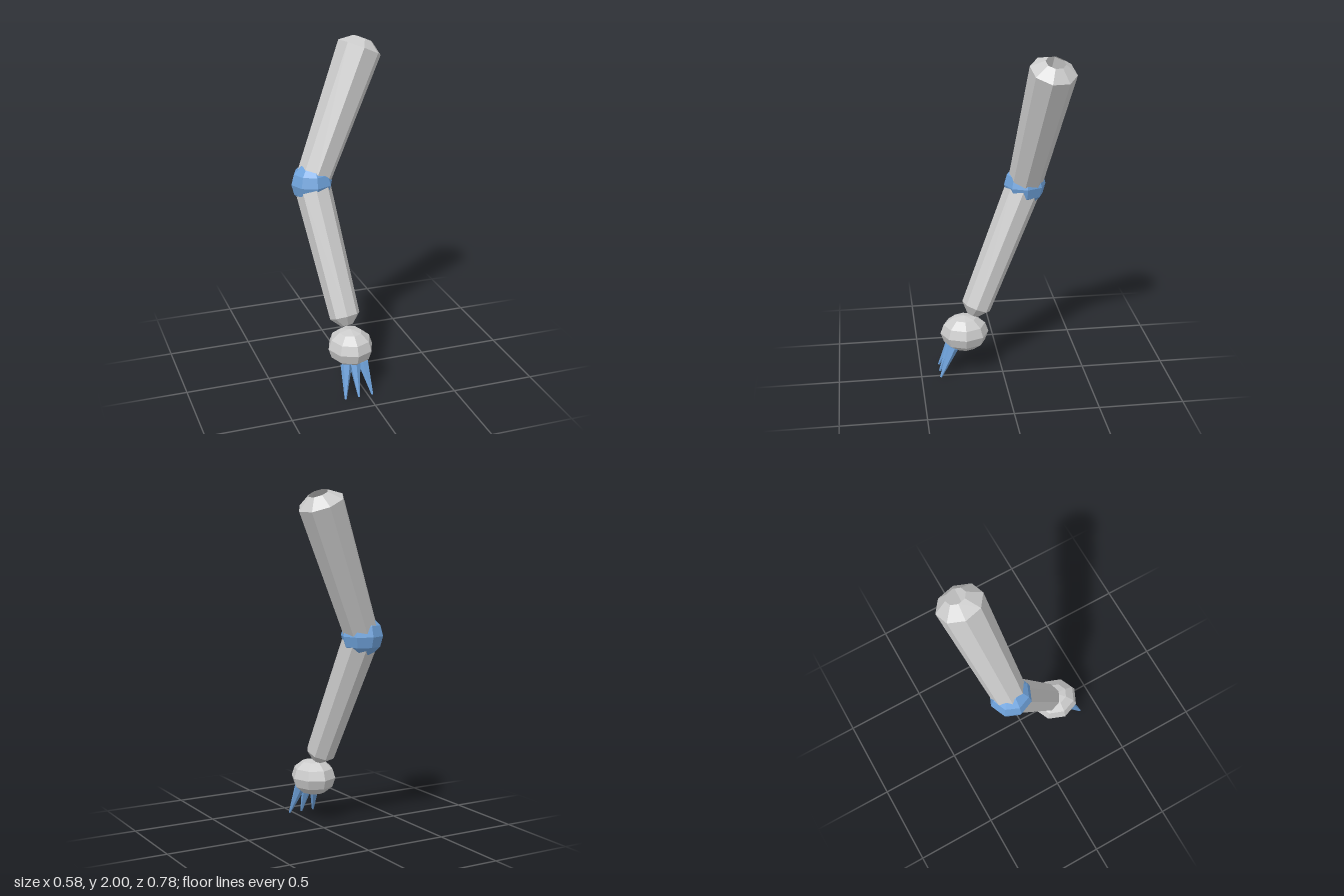
import * as THREE from 'three';

const grey = new THREE.MeshStandardMaterial({ color: 0xcccccc, flatShading: true, side: THREE.DoubleSide });
const blue = new THREE.MeshStandardMaterial({ color: 0x6fa3dc, flatShading: true });
const V = (x, y, z) => new THREE.Vector3(x, y, z);

// Stand a y-aligned mesh on point a, pointing at b
function aim(mesh, a, b, twist = 0) {
  mesh.position.copy(a);
  mesh.quaternion.setFromUnitVectors(V(0, 1, 0), b.clone().sub(a).normalize());
  mesh.rotateY(twist);
  return mesh;
}

// Eight-sided tapered tube from a to b with bevelled, open ends
function limb(name, a, b, ra, rb, bevel, openA, openB, twist) {
  const len = a.distanceTo(b);
  const profile = [[openA, -bevel], [ra, 0], [rb, len], [openB, len + bevel]];
  const geo = new THREE.LatheGeometry(profile.map(p => new THREE.Vector2(...p)), 8);
  const mesh = aim(new THREE.Mesh(geo, grey), a, b, twist);
  mesh.name = name;
  return mesh;
}

// Faceted ball
function ball(name, center, sx, sy, sz, material) {
  const mesh = new THREE.Mesh(new THREE.SphereGeometry(1, 8, 6), material);
  mesh.scale.set(sx, sy, sz);
  mesh.position.copy(center);
  mesh.name = name;
  return mesh;
}

export function createModel() {
  const arm = new THREE.Group();
  arm.name = 'arm';
  const elbow = V(-0.165, 1.165, -0.155);
  const shoulder = V(0.167, 1.925, -0.258);
  const wrist = V(-0.067, 0.425, 0.154);

  // Arm segments and elbow joint
  arm.add(limb('upperArm', elbow, shoulder, 0.103, 0.134, 0.055, 0.045, 0.058, -0.17));
  arm.add(limb('forearm', wrist, elbow, 0.09, 0.108, 0.055, 0.038, 0.045, -0.12));
  arm.add(ball('elbowJoint', elbow, 0.125, 0.125, 0.125, blue));

  // Hand with three claws fanning forward and down
  arm.add(ball('hand', V(-0.058, 0.26, 0.228), 0.135, 0.112, 0.147, grey));
  for (const side of [-1, 0, 1]) {
    const base = V(-0.058 + side * 0.052, 0.185, 0.305);
    const tip = V(-0.058 + side * 0.083, 0.003, 0.384);
    const len = base.distanceTo(tip);
    const geo = new THREE.CylinderGeometry(0.006, 0.034, len, 6).translate(0, len / 2, 0);
    const claw = aim(new THREE.Mesh(geo, blue), base, tip);
    claw.name = 'claw';
    arm.add(claw);
  }
  return arm;
}
